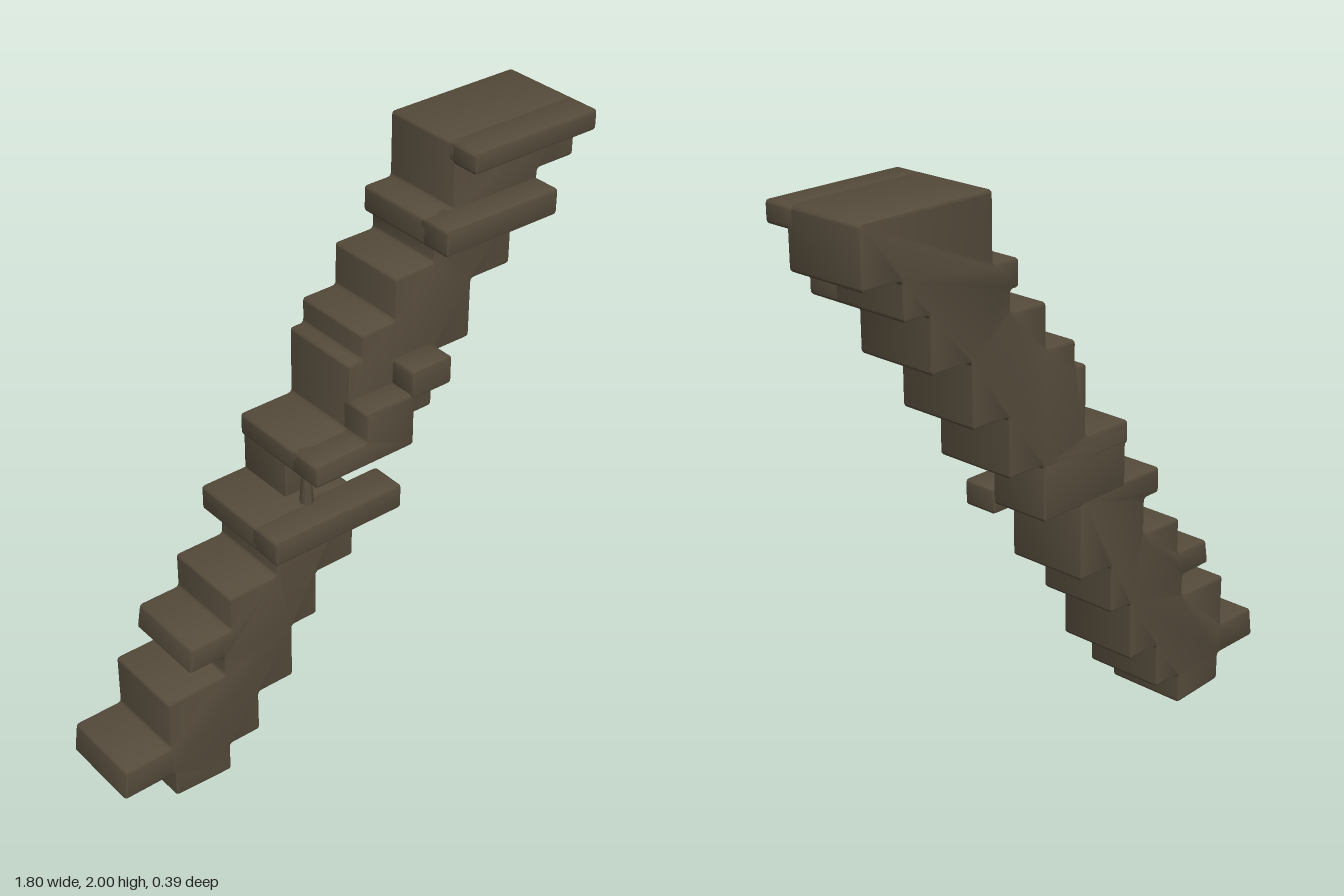
import * as THREE from 'three';
import { toCreasedNormals } from 'three/addons/utils/BufferGeometryUtils.js';

const BEVEL = 0.008;
const BACK = -0.195, WALL = 0.1, LIP = 0.195;

// Closed outline with slightly rounded corners
function roundedShape(points, radius = 0.013) {
  const p = points.map(([x, y]) => new THREE.Vector2(x, y));
  const shape = new THREE.Shape();
  p.forEach((corner, i) => {
    const prev = p[(i + p.length - 1) % p.length];
    const next = p[(i + 1) % p.length];
    const toward = (q) => corner.clone().lerp(q, Math.min(0.4, radius / corner.distanceTo(q)));
    const a = toward(prev), b = toward(next);
    if (i === 0) shape.moveTo(a.x, a.y); else shape.lineTo(a.x, a.y);
    shape.quadraticCurveTo(corner.x, corner.y, b.x, b.y);
  });
  shape.closePath();
  return shape;
}

// Outline extruded from z0 to z1, with softened edges kept inside that size
function slab(points, z0, z1) {
  const geometry = new THREE.ExtrudeGeometry(roundedShape(points), {
    depth: z1 - z0 - 2 * BEVEL, curveSegments: 3,
    bevelEnabled: true, bevelThickness: BEVEL, bevelSize: BEVEL,
    bevelOffset: -BEVEL, bevelSegments: 2,
  });
  geometry.translate(0, 0, z0 + BEVEL);
  return toCreasedNormals(geometry, 0.7);
}

const rect = (x0, y0, x1, y1) => [[x0, y0], [x1, y0], [x1, y1], [x0, y1]];

export function createModel() {
  const group = new THREE.Group();
  const wood = new THREE.MeshStandardMaterial({ color: 0x564c3c });
  wood.name = 'dark brown';

  const add = (name, points, z0, z1) => {
    const mesh = new THREE.Mesh(slab(points, z0, z1), wood);
    mesh.name = name;
    group.add(mesh);
  };

  // Lower half of the stepped body
  add('lowerFlight', [
    [-0.71, 0.01], [-0.49, 0], [-0.49, 0.11], [-0.37, 0.11], [-0.37, 0.27],
    [-0.23, 0.27], [-0.23, 0.48], [-0.13, 0.48], [-0.13, 0.65], [0.02, 0.65],
    [0.02, 0.93], [-0.36, 0.93], [-0.36, 0.84], [-0.29, 0.84], [-0.29, 0.71],
    [-0.47, 0.71], [-0.47, 0.58], [-0.62, 0.58], [-0.635, 0.49], [-0.5, 0.49],
    [-0.5, 0.41], [-0.72, 0.41], [-0.72, 0.22], [-0.89, 0.22], [-0.905, 0.11],
    [-0.71, 0.11],
  ], BACK, WALL);

  // Narrow block joining the two halves, set back behind the opening
  add('middleBlock', rect(-0.19, 0.91, 0.19, 1.12), BACK, 0.02);

  // Upper half of the stepped body
  add('upperFlight', [
    [-0.2, 1.06], [0.19, 1.06], [0.19, 1.1], [0.34, 1.1], [0.34, 1.3],
    [0.49, 1.3], [0.49, 1.51], [0.65, 1.51], [0.65, 1.69], [0.75, 1.69],
    [0.75, 1.81], [0.9, 1.81], [0.9, 2], [0.4, 2], [0.4, 1.78],
    [0.295, 1.78], [0.295, 1.69], [0.33, 1.69], [0.33, 1.62], [0.18, 1.62],
    [0.18, 1.47], [0.05, 1.47], [0.05, 1.38], [0, 1.38], [0, 1.14], [-0.2, 1.14],
  ], BACK, WALL);

  // Treads and blocks that stand out at the front
  const lips = [
    ['landingLip', rect(-0.36, 0.84, 0.14, 0.93), LIP],
    ['middleLip', [[-0.2, 1.06], [0.19, 1.06], [0.19, 1.25], [0, 1.25], [0, 1.14], [-0.2, 1.14]], 0.19],
    ['sideLip', rect(0.175, 1.235, 0.335, 1.335), LIP],
    ['upperLip', rect(0.295, 1.69, 0.75, 1.78), LIP],
    ['topLip', rect(0.4, 1.93, 0.9, 2), LIP - 0.005],
  ];
  for (const [name, points, front] of lips) add(name, points, 0.07, front);

  // Thin tapered post in the opening
  const post = new THREE.Mesh(new THREE.CylinderGeometry(0.012, 0.024, 0.15, 8), wood);
  post.name = 'post';
  post.position.set(-0.15, 0.995, 0.078);
  group.add(post);

  return group;
}
